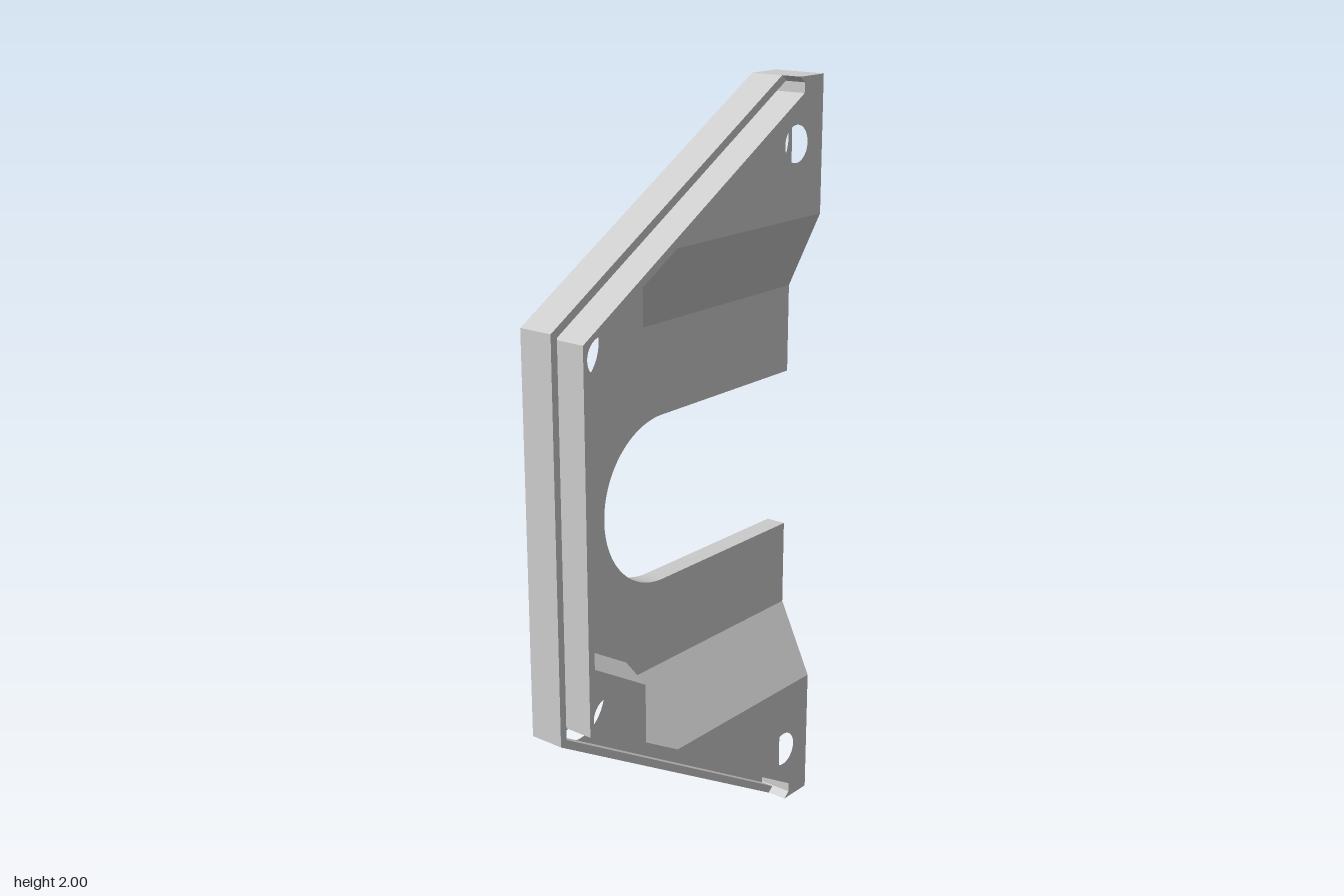
import * as THREE from 'three';
import { toCreasedNormals } from 'three/addons/utils/BufferGeometryUtils.js';
import { ConvexGeometry } from 'three/addons/geometries/ConvexGeometry.js';

const BACK = -0.075, FLOOR = -0.02, LEDGE = 0.018, TOP = 0.073;
const HOLE_R = 0.047, SINK_R = 0.095;
const HOLES = [[0.37, 1.447], [-0.365, 1.838], [0.37, 0.553], [-0.365, 0.162]];

// Profiles are lists of [z, y] for the upper half, mirrored about y = 1
const flip = ([z, y]) => [z, 2 - y];
const mirrorLoop = (pts) => [...pts, ...pts.map(flip).reverse()];

// Extrude a [z, y] loop along x, optionally shifting vertices of the lower face
function plate(loop, x0, x1, holeRadius, draft = []) {
  const shape = new THREE.Shape(loop.map(([z, y]) => new THREE.Vector2(-z, y)));
  if (holeRadius) {
    for (const [z, y] of HOLES) {
      shape.holes.push(new THREE.Path().absarc(-z, y, holeRadius, 0, Math.PI * 2, true));
    }
  }
  const geo = new THREE.ExtrudeGeometry(shape, { depth: x1 - x0, bevelEnabled: false, curveSegments: 32 });
  geo.rotateY(Math.PI / 2).translate(x0, 0, 0);
  const p = geo.attributes.position;
  for (let i = 0; i < p.count; i++) {
    if (p.getX(i) > x0 + 0.001) continue;
    for (const [from, to] of draft) {
      if (Math.hypot(p.getZ(i) - from[0], p.getY(i) - from[1]) < 0.002) {
        p.setXYZ(i, x0, to[1], to[0]);
        break;
      }
    }
  }
  return toCreasedNormals(geo, 0.5);
}

export function createModel() {
  const group = new THREE.Group();
  const mat = new THREE.MeshStandardMaterial({ color: 0xcccccc });
  const thin = new THREE.MeshStandardMaterial({ color: 0xcccccc, side: THREE.DoubleSide });
  const add = (name, geo, material = mat) => {
    const mesh = new THREE.Mesh(geo, material);
    mesh.name = name;
    group.add(mesh);
  };

  // Thin back plate with a round-ended slot open to the rear
  const r = 0.2175, arc = [];
  for (let i = 0; i < 24; i++) {
    const a = (Math.PI / 2) * (1 - i / 24);
    arc.push([0.0475 + r * Math.cos(a), 1 + r * Math.sin(a)]);
  }
  const outline = [[0.475, 1.51], [-0.375, 2], [-0.475, 2], [-0.475, 1 + r], ...arc];
  add('backPlate', plate(mirrorLoop(outline), BACK, FLOOR, SINK_R));

  // Low rim along the front and slanted edges, outside the groove
  const rim = [[0.475, 1.51], [-0.375, 2], [-0.4, 2], [-0.4, 1.991], [0.455, 1.498]];
  add('outerRim', plate(mirrorLoop(rim), FLOOR, LEDGE));

  // Raised lip, end blocks and corner pads; the pad walls lean outward at the foot
  const raised = [
    [0.43, 1.484], [-0.395, 1.959], [-0.395, 1.985], [-0.376, 2], [-0.475, 2],
    [-0.475, 1.65], [0.1, 1.65], [0.225, 1.579], [0.225, 1.42], [0.41, 1.312],
  ];
  const lean = [
    [[0.225, 1.579], [0.19, 1.599]],
    [[0.225, 1.42], [0.19, 1.4]],
    [[0.41, 1.312], [0.41, 1.272]],
  ];
  const draft = [...lean, ...lean.map((pair) => pair.map(flip))];
  add('raisedLipAndPads', plate(mirrorLoop(raised), FLOOR, TOP, HOLE_R, draft));

  // Ramps from the recessed middle up to the end blocks
  const slopeX = (y) => FLOOR + ((y - 1.45) / 0.2) * (TOP - FLOOR);
  const ramp = [
    [FLOOR, 1.45, -0.475], [FLOOR, 1.45, 0.205], [FLOOR, 1.59, 0.205], [slopeX(1.59), 1.59, 0.205],
    [TOP, 1.65, 0.1], [FLOOR, 1.65, 0.1], [TOP, 1.65, -0.475], [FLOOR, 1.65, -0.475],
  ];
  for (const upper of [true, false]) {
    const pts = ramp.map(([x, y, z]) => new THREE.Vector3(x, upper ? y : 2 - y, z));
    add(upper ? 'upperRamp' : 'lowerRamp', new ConvexGeometry(pts));
  }

  // Conical countersinks on the back face
  for (const [z, y] of HOLES) {
    const cone = new THREE.CylinderGeometry(HOLE_R, SINK_R, FLOOR - BACK, 48, 1, true);
    cone.rotateZ(-Math.PI / 2).translate((BACK + FLOOR) / 2, y, z);
    add('countersink', cone, thin);
  }

  return group;
}
